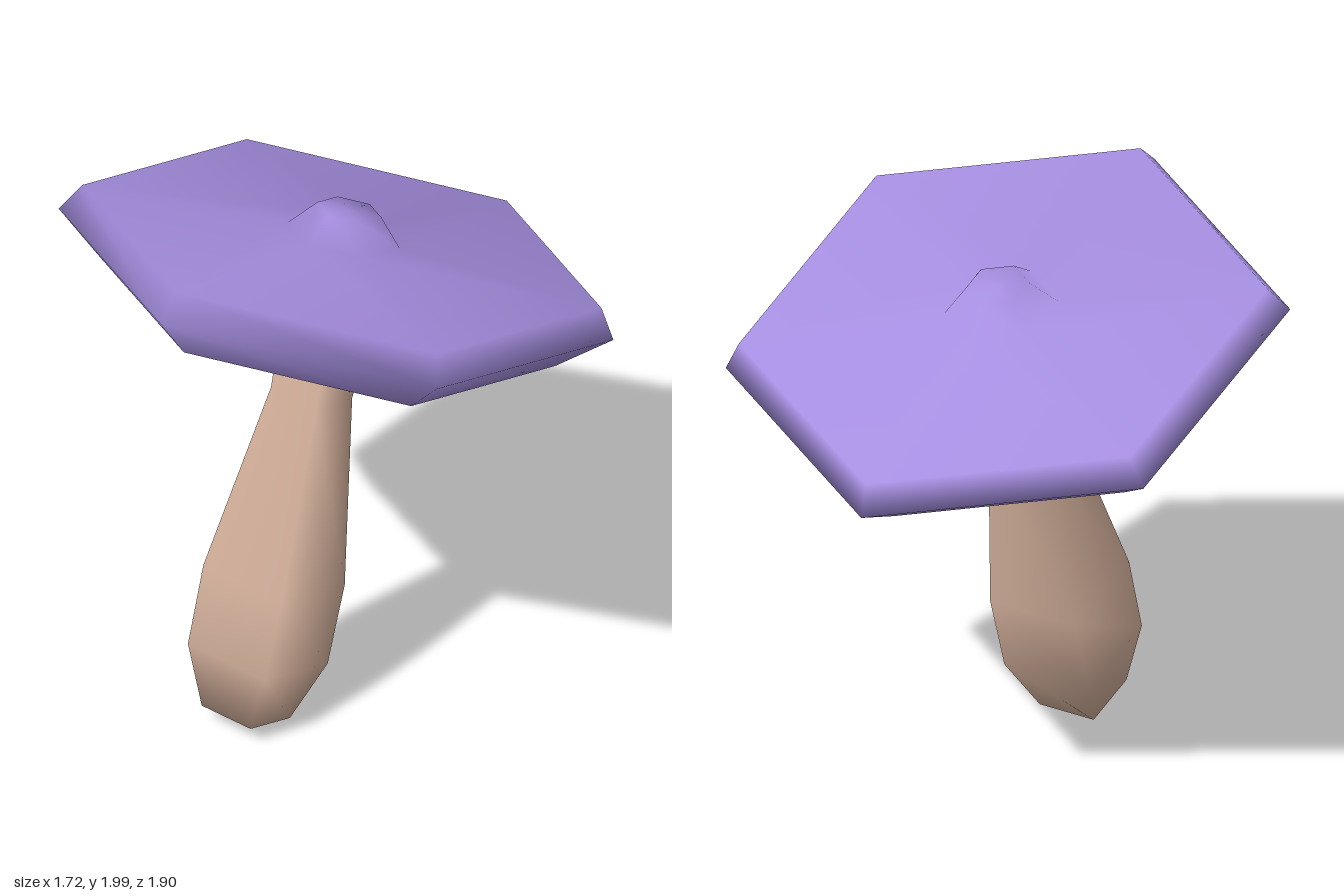
import * as THREE from 'three';

const CAP = 0xa58ee0;
const FLESH = 0xdfbaa4;

// Smooth-shaded ring stack around the local y axis; points are [radius, height].
function ringStack(name, points, sides, phase, color) {
  const profile = points.map(([r, y]) => new THREE.Vector2(r, y));
  const geometry = new THREE.LatheGeometry(profile, sides, phase);
  const mesh = new THREE.Mesh(geometry, new THREE.MeshStandardMaterial({ color }));
  mesh.name = name;
  return mesh;
}

export function createModel() {
  const model = new THREE.Group();
  model.name = 'mushroom';

  // The whole mushroom leans along one axis, pivoting at the middle of the cap
  const leaning = new THREE.Group();
  leaning.name = 'leaningMushroom';
  leaning.position.y = 1.6275;
  leaning.rotation.x = -0.297;
  model.add(leaning);

  // Six-sided cap with bevelled rim and a small knob on top
  leaning.add(ringStack('cap', [
    [0.814, -0.144], [0.994, 0], [0.931, 0.105],
    [0.2, 0.148], [0.115, 0.245], [0, 0.247],
  ], 6, 0, CAP));

  // Hollow underside, rising gently towards the stem
  leaning.add(ringStack('capUnderside', [[0, 0.02], [0.814, -0.144]], 6, 0, FLESH));

  // Four-sided stem, given as half widths
  const stem = [
    [0, -1.662], [0.111, -1.662], [0.176, -1.441], [0.178, -1.142],
    [0.102, -0.449], [0.111, -0.201], [0.07, -0.008], [0, -0.008],
  ].map(([halfWidth, y]) => [halfWidth * Math.SQRT2, y]);
  leaning.add(ringStack('stem', stem, 4, Math.PI / 4, FLESH));

  return model;
}
